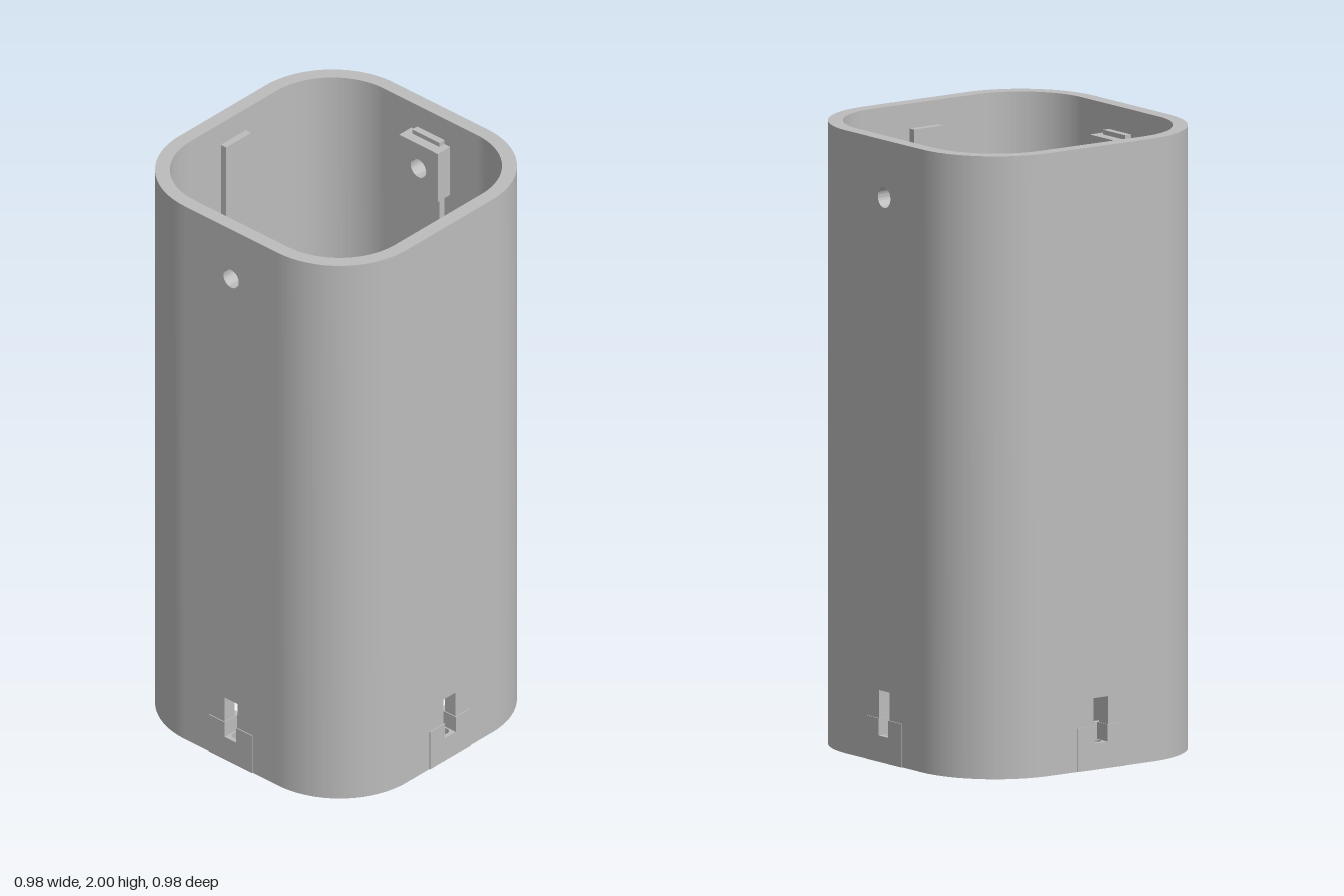
import * as THREE from 'three';
import { toCreasedNormals } from 'three/addons/utils/BufferGeometryUtils.js';

const OUT = 0.488, IN = 0.441, FLAT = 0.2, H = 2;
const HOLE_Y = 1.815, HOLE_R = 0.033;
const TAB_W = 0.093, TAB_H = 0.14, SLOT_W = 0.028, SLOT_FLOOR = 0.085, SLOT_TOP = 0.23;

const outline = pts => new THREE.Shape(pts.map(([x, y]) => new THREE.Vector2(x, y)));
const rect = (w, y0, y1) => outline([[-w, y0], [w, y0], [w, y1], [-w, y1]]);

function drill(shape, y, r) {
  const hole = new THREE.Path();
  hole.absarc(0, y, r, 0, Math.PI * 2, true);
  shape.holes.push(hole);
  return shape;
}

function extrude(shape, depth) {
  const geo = new THREE.ExtrudeGeometry(shape, { depth, bevelEnabled: false, curveSegments: 24 });
  return toCreasedNormals(geo, 0.6);
}

// extrusion facing +z between two depths
const slab = (shape, z0, z1) => extrude(shape, z1 - z0).translate(0, 0, z0);

// plan shape (x, -z) extruded upward between two heights
const rise = (shape, y0, y1) => extrude(shape, y1 - y0).rotateX(-Math.PI / 2).translate(0, y0, 0);

export function createModel() {
  const model = new THREE.Group();
  model.name = 'squareTube';
  const grey = new THREE.MeshStandardMaterial({ color: 0xbcbcbc });
  grey.name = 'grey plastic';

  const add = (parent, name, geo) => {
    const mesh = new THREE.Mesh(geo, grey);
    mesh.name = name;
    parent.add(mesh);
  };

  // rounded corner, a quarter ring in plan
  const quarter = new THREE.Shape();
  quarter.absarc(FLAT, FLAT, OUT - FLAT, 0, Math.PI / 2, false);
  quarter.absarc(FLAT, FLAT, IN - FLAT, Math.PI / 2, 0, true);
  const cornerGeo = rise(quarter, 0, H);

  // flat wall with a notch for the tab and a slot above it
  const wall = () => outline([
    [-FLAT, 0], [-TAB_W, 0], [-TAB_W, TAB_H], [-SLOT_W, TAB_H], [-SLOT_W, SLOT_TOP],
    [SLOT_W, SLOT_TOP], [SLOT_W, TAB_H], [TAB_W, TAB_H], [TAB_W, 0], [FLAT, 0],
    [FLAT, H], [-FLAT, H],
  ]);

  // tab foot with a vertical hole, and its recessed upper half
  const z0 = 0.418, z1 = 0.491, zr = 0.434, sw = 0.025;
  const footGeo = rise(drill(rect(TAB_W, -z1, -z0), -0.457, 0.02), 0, SLOT_FLOOR);
  const upperGeo = rise(outline([
    [-TAB_W, -z1], [-sw, -z1], [-sw, -zr], [sw, -zr], [sw, -z1],
    [TAB_W, -z1], [TAB_W, -z0], [-TAB_W, -z0],
  ]), SLOT_FLOOR, TAB_H);

  ['front', 'left', 'back', 'right'].forEach((name, i) => {
    const side = new THREE.Group();
    side.name = name + 'Side';
    side.rotation.y = i * Math.PI / 2;
    model.add(side);

    const screwed = i % 2 === 0;
    const bore = shape => (screwed ? drill(shape, HOLE_Y, HOLE_R) : shape);

    add(side, 'wall', slab(bore(wall()), IN, OUT));
    add(side, 'corner', cornerGeo);
    add(side, 'tabFoot', footGeo);
    add(side, 'tabRecess', upperGeo);

    // inner guide rib, with a screw block on front and back
    add(side, 'guideRib', slab(bore(rect(0.058, 0.4, 1.92)), 0.418, IN));
    if (screwed) add(side, 'screwBlock', slab(bore(rect(0.083, 1.725, 1.905)), 0.384, IN));
  });
  return model;
}
